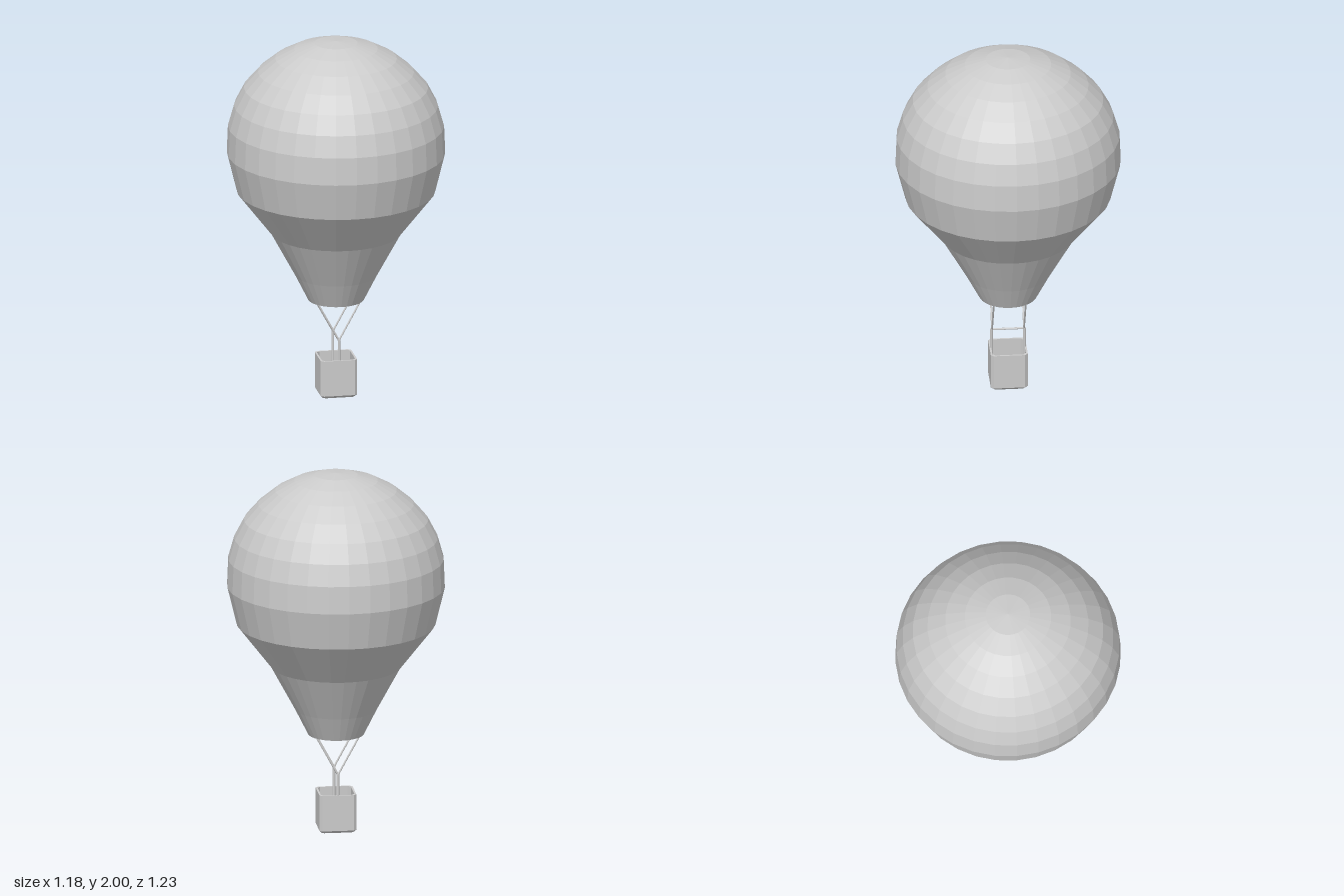
import * as THREE from 'three';

const grey = new THREE.MeshStandardMaterial({ color: 0xcccccc, flatShading: true });
const greyDouble = new THREE.MeshStandardMaterial({ color: 0xcccccc, flatShading: true, side: THREE.DoubleSide });

// Straight round bar between two points
function bar(name, a, b, radius) {
  const from = new THREE.Vector3(...a), to = new THREE.Vector3(...b);
  const dir = to.clone().sub(from);
  const mesh = new THREE.Mesh(new THREE.CylinderGeometry(radius, radius, dir.length(), 8), grey);
  mesh.position.copy(from).add(to).multiplyScalar(0.5);
  mesh.quaternion.setFromUnitVectors(new THREE.Vector3(0, 1, 0), dir.normalize());
  mesh.name = name;
  return mesh;
}

// Square loop with cut corners, counter-clockwise seen from above
function squareLoop(h, cut, y) {
  const loop = [];
  for (let i = 0; i < 4; i++) {
    const turn = (i * Math.PI) / 2, axis = new THREE.Vector3(0, 1, 0);
    loop.push(new THREE.Vector3(h, y, -h + cut).applyAxisAngle(axis, turn));
    loop.push(new THREE.Vector3(h - cut, y, -h).applyAxisAngle(axis, turn));
  }
  return loop;
}

// Skin a row of loops and close both ends
function loft(loops) {
  const n = loops[0].length, points = [], index = [];
  loops.forEach((loop) => points.push(...loop));
  for (let r = 0; r < loops.length - 1; r++) {
    for (let i = 0; i < n; i++) {
      const a = r * n + i, b = r * n + ((i + 1) % n);
      index.push(a, b, b + n, a, b + n, a + n);
    }
  }
  const last = (loops.length - 1) * n;
  for (let i = 1; i < n - 1; i++) {
    index.push(0, i + 1, i);
    index.push(last, last + i, last + i + 1);
  }
  const geometry = new THREE.BufferGeometry().setFromPoints(points);
  geometry.setIndex(index);
  geometry.computeVertexNormals();
  return geometry;
}

export function createModel() {
  const model = new THREE.Group();
  model.name = 'hotAirBalloon';

  // Envelope: faceted teardrop, open at the mouth, slightly deeper than wide
  const profile = [
    [0.152, 0.535], [0.222, 0.675], [0.354, 0.918], [0.54, 1.156], [0.592, 1.368],
    [0.586, 1.52], [0.553, 1.636], [0.5, 1.738], [0.423, 1.826], [0.33, 1.902],
    [0.227, 1.957], [0.117, 1.99], [0, 2],
  ].map(([r, y]) => new THREE.Vector2(r, y));
  const envelope = new THREE.Mesh(new THREE.LatheGeometry(profile, 32), greyDouble);
  envelope.scale.z = 1.035;
  envelope.name = 'envelope';
  model.add(envelope);

  // Basket: hollow box with cut corners and a bevelled foot
  const basket = new THREE.Mesh(loft([
    squareLoop(0.09, 0.015, 0),
    squareLoop(0.101, 0.016, 0.013),
    squareLoop(0.101, 0.016, 0.212),
    squareLoop(0.091, 0.016, 0.212),
    squareLoop(0.091, 0.016, 0.015),
  ]), grey);
  basket.name = 'basket';
  model.add(basket);

  // Frame and ropes: two posts joined by a crossbar, each carrying a V of ropes
  for (const s of [-1, 1]) {
    model.add(bar('post', [0, 0.012, s * 0.09], [0, 0.328, s * 0.09], 0.007));
    for (const side of [-1, 1]) {
      model.add(bar('rope', [0, 0.325, s * 0.087], [side * 0.12, 0.545, s * 0.087], 0.005));
    }
  }
  model.add(bar('crossbar', [0, 0.325, -0.096], [0, 0.325, 0.096], 0.006));

  return model;
}
